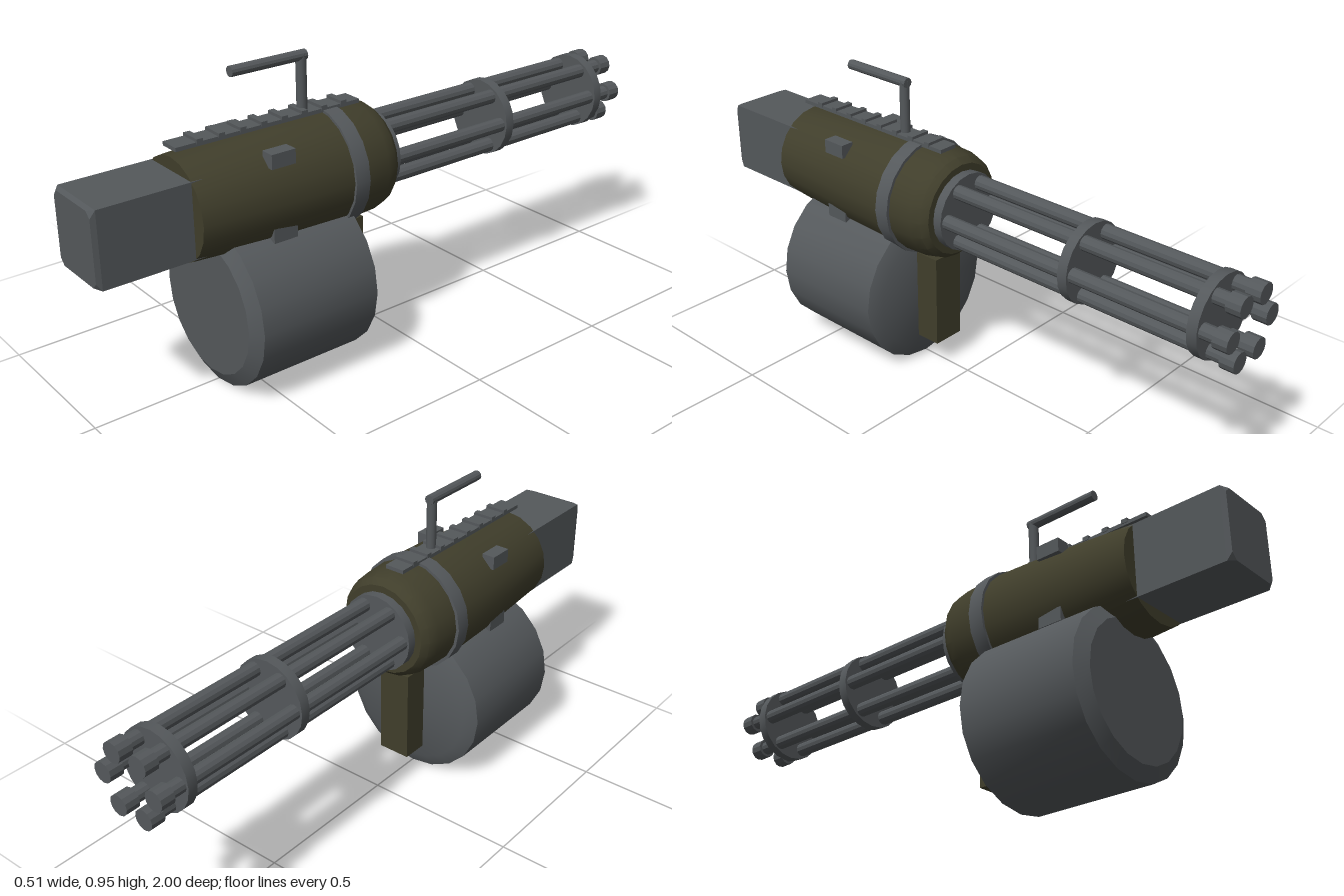
import * as THREE from 'three';
import { toCreasedNormals } from 'three/addons/utils/BufferGeometryUtils.js';
import { ConvexGeometry } from 'three/addons/geometries/ConvexGeometry.js';

const AXIS_Y = 0.585; // height of the barrel axis

export function createModel() {
  const group = new THREE.Group();
  const steel = new THREE.MeshStandardMaterial({ color: 0x54585b });
  steel.name = 'gunmetal grey';
  const olive = new THREE.MeshStandardMaterial({ color: 0x403e2b });
  olive.name = 'dark olive';

  const add = (name, geometry, material, x = 0, y = 0, z = 0) => {
    const mesh = new THREE.Mesh(geometry, material);
    mesh.name = name;
    mesh.position.set(x, y, z);
    group.add(mesh);
    return mesh;
  };
  // Solid turned around the z axis from [radius, z] pairs, z rising
  const turned = (name, profile, sides, material, x, y) => {
    const points = profile.map(([r, z]) => new THREE.Vector2(r, z));
    const geometry = new THREE.LatheGeometry(points, sides).rotateX(Math.PI / 2);
    return add(name, toCreasedNormals(geometry, 0.5), material, x, y);
  };
  const rod = (name, r, z0, z1, sides, x, y) =>
    turned(name, [[0, z0], [r, z0], [r, z1], [0, z1]], sides, steel, x, y);
  const box = (name, w, h, d, material, x, y, z) =>
    add(name, new THREE.BoxGeometry(w, h, d), material, x, y, z);

  // Housing with its steel band
  turned('housing', [[0, 0.025], [0.148, 0.025], [0.166, 0.045], [0.175, 0.08],
    [0.181, 0.2], [0.175, 0.4], [0.155, 0.705], [0, 0.705]], 20, olive, 0, AXIS_Y);
  rod('housingBand', 0.189, 0.163, 0.213, 20, 0, AXIS_Y);

  // Rear block with a chamfered end
  const corners = [];
  for (const sx of [-1, 1]) for (const sy of [-1, 1]) {
    corners.push(
      new THREE.Vector3(sx * 0.105, sy * 0.115, 0.6),
      new THREE.Vector3(sx * 0.105, sy * 0.115, 0.985),
      new THREE.Vector3(sx * 0.1, sy * 0.092, 1),
      new THREE.Vector3(sx * 0.082, sy * 0.11, 1));
  }
  add('rearBlock', new ConvexGeometry(corners), steel, 0, AXIS_Y, 0);

  // Six barrels with muzzle caps, held by discs
  for (let i = 0; i < 6; i++) {
    const a = i * Math.PI / 3;
    const x = 0.096 * Math.cos(a), y = AXIS_Y + 0.096 * Math.sin(a);
    rod('barrel', 0.023, -0.97, 0.02, 12, x, y);
    rod('muzzle', 0.032, -1, -0.955, 12, x, y);
  }
  rod('barrelBase', 0.126, -0.005, 0.04, 20, 0, AXIS_Y);
  rod('barrelClamp', 0.126, -0.485, -0.453, 20, 0, AXIS_Y);
  rod('barrelClamp', 0.126, -0.91, -0.878, 20, 0, AXIS_Y);

  // Ammunition drum and the olive grip in front of it
  turned('drum', [[0, 0.17], [0.213, 0.17], [0.256, 0.192], [0.256, 0.593],
    [0.213, 0.617], [0, 0.617]], 20, steel, 0, 0.256);
  box('frontGrip', 0.11, 0.31, 0.1, olive, 0, 0.247, 0.135);

  // Side lugs, above and below
  for (const s of [-1, 1]) {
    box('upperLug', 0.045, 0.044, 0.08, steel, s * 0.128, 0.711, 0.438);
    box('lowerLug', 0.045, 0.044, 0.08, steel, s * 0.128, 0.487, 0.438);
  }

  // Top rail with teeth
  box('rail', 0.066, 0.012, 0.625, steel, 0, 0.769, 0.393);
  for (let i = 0; i < 8; i++) box('railTooth', 0.07, 0.014, 0.02, steel, 0, 0.777, 0.14 + i * 0.07);

  // Carrying handle
  add('handlePost', new THREE.CylinderGeometry(0.016, 0.016, 0.175, 12), steel, 0, 0.855, 0.265);
  rod('handleBar', 0.016, 0.25, 0.505, 12, 0, 0.938);

  return group;
}
